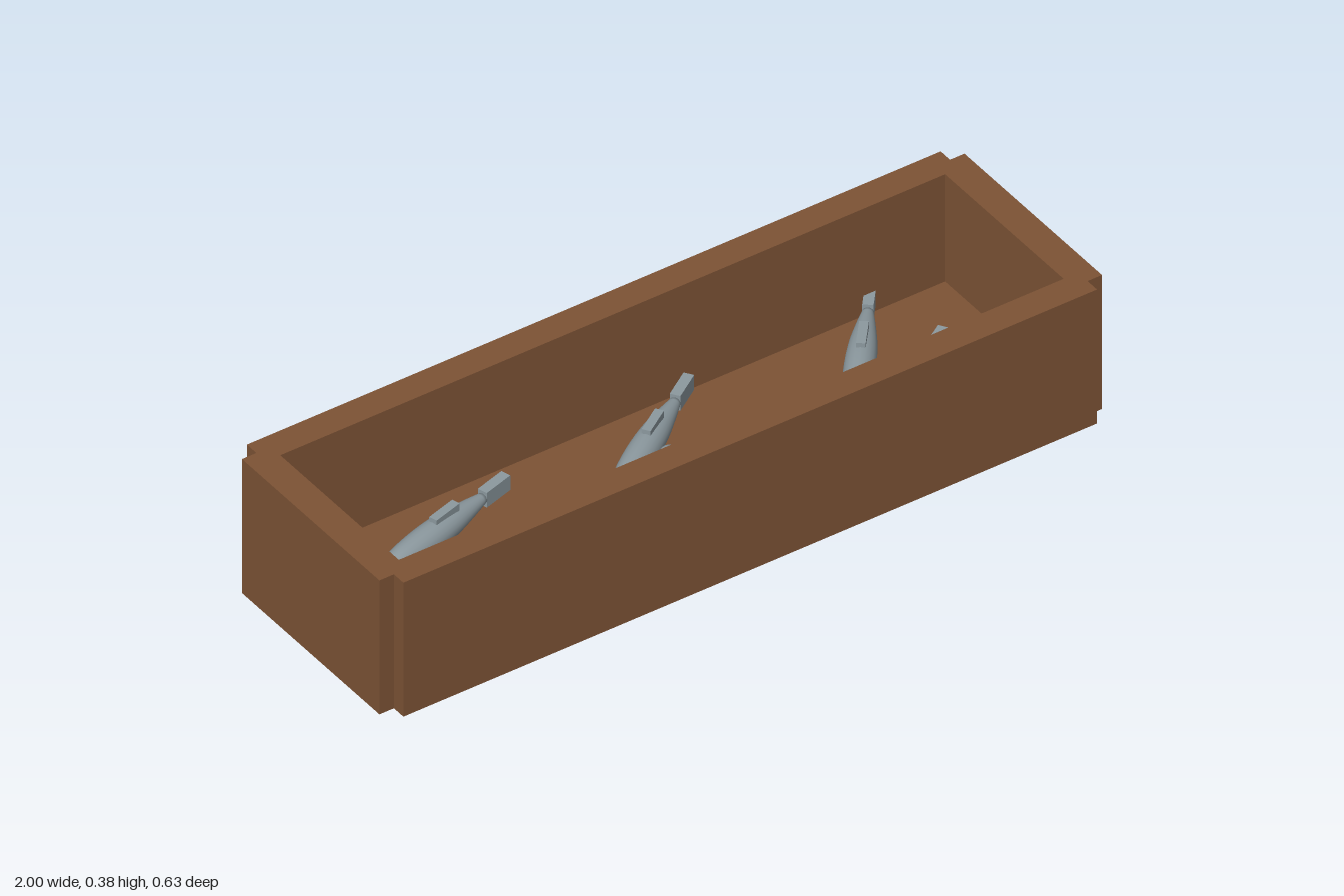
import * as THREE from 'three';

const mat = (name, color) => {
  const m = new THREE.MeshStandardMaterial({ color });
  m.name = name;
  return m;
};

export function createModel() {
  const wood = mat('brown wood', 0x7d5335);
  const scales = mat('silver grey', 0x8c999f);
  const black = mat('eye black', 0x15181a);

  const model = new THREE.Group();
  model.name = 'fishCrate';
  const add = (parent, name, geometry, material, x = 0, y = 0, z = 0) => {
    const mesh = new THREE.Mesh(geometry, material);
    mesh.name = name;
    mesh.position.set(x, y, z);
    parent.add(mesh);
    return mesh;
  };
  const path = (pts) => pts.map(([x, y]) => new THREE.Vector2(x, y));

  // Crate walls: stepped corners outside, rectangular opening inside
  const H = 0.385, FLOOR = 0.077, IX = 0.92, IZ = 0.237;
  const outline = new THREE.Shape(path([
    [-0.96, -0.313], [0.96, -0.313], [0.96, -0.275], [1, -0.275],
    [1, 0.275], [0.96, 0.275], [0.96, 0.313], [-0.96, 0.313],
    [-0.96, 0.275], [-1, 0.275], [-1, -0.275], [-0.96, -0.275],
  ]));
  outline.holes.push(new THREE.Path(path([[-IX, -IZ], [-IX, IZ], [IX, IZ], [IX, -IZ]])));
  const walls = new THREE.ExtrudeGeometry(outline, { depth: H, bevelEnabled: false });
  walls.rotateX(-Math.PI / 2);
  add(model, 'crateWalls', walls, wood);
  add(model, 'crateFloor', new THREE.BoxGeometry(IX * 2, FLOOR, IZ * 2), wood, 0, FLOOR / 2, 0);

  // Fish parts: nose at the local origin, tail along +x
  const profile = new THREE.SplineCurve(path([
    [0, 0], [0.016, 0.008], [0.023, 0.035], [0.033, 0.095], [0.037, 0.18],
    [0.033, 0.26], [0.023, 0.33], [0.013, 0.385],
  ])).getPoints(24);
  profile.forEach((p) => { p.x = Math.max(p.x, 0); });
  profile.push(new THREE.Vector2(0, 0.386));
  const body = new THREE.LatheGeometry(profile, 20);
  body.rotateZ(-Math.PI / 2);
  const tail = new THREE.BoxGeometry(0.085, 0.042, 0.026);
  const fin = new THREE.BoxGeometry(0.083, 0.03, 0.022);
  const eye = new THREE.SphereGeometry(0.006, 10, 8);

  // Nose position and heading for each fish: x, z, dx, dz
  const school = [
    [-0.80, -0.025, 0.46, -0.135], [-0.81, 0.085, 0.465, 0.002],
    [-0.187, 0.035, 0.39, -0.26], [-0.225, 0.153, 0.455, -0.126],
    [0.438, 0.09, 0.267, -0.32], [0.385, 0.212, 0.39, -0.25],
  ];
  for (const [x, z, dx, dz] of school) {
    const fish = new THREE.Group();
    fish.name = 'fish';
    fish.position.set(x, FLOOR + 0.037, z);
    fish.rotation.y = Math.atan2(-dz, dx);
    add(fish, 'body', body, scales);
    add(fish, 'tail', tail, scales, 0.425, 0, 0);
    add(fish, 'dorsalFin', fin, scales, 0.245, 0.033, 0);
    for (const s of [-1, 1]) add(fish, 'eye', eye, black, 0.036, 0.016, s * 0.016);
    model.add(fish);
  }

  // Little heap of pebbles in the middle: x, z, radius
  const heap = [[0.014, -0.03, 0.028], [-0.025, 0.014, 0.023], [0.012, 0.005, 0.014],
    [0.036, 0.001, 0.011], [0.13, -0.026, 0.005]];
  for (const [x, z, r] of heap) {
    add(model, 'pebble', new THREE.SphereGeometry(r, 16, 12), scales, x, FLOOR + r * 0.9, z);
  }
  return model;
}
